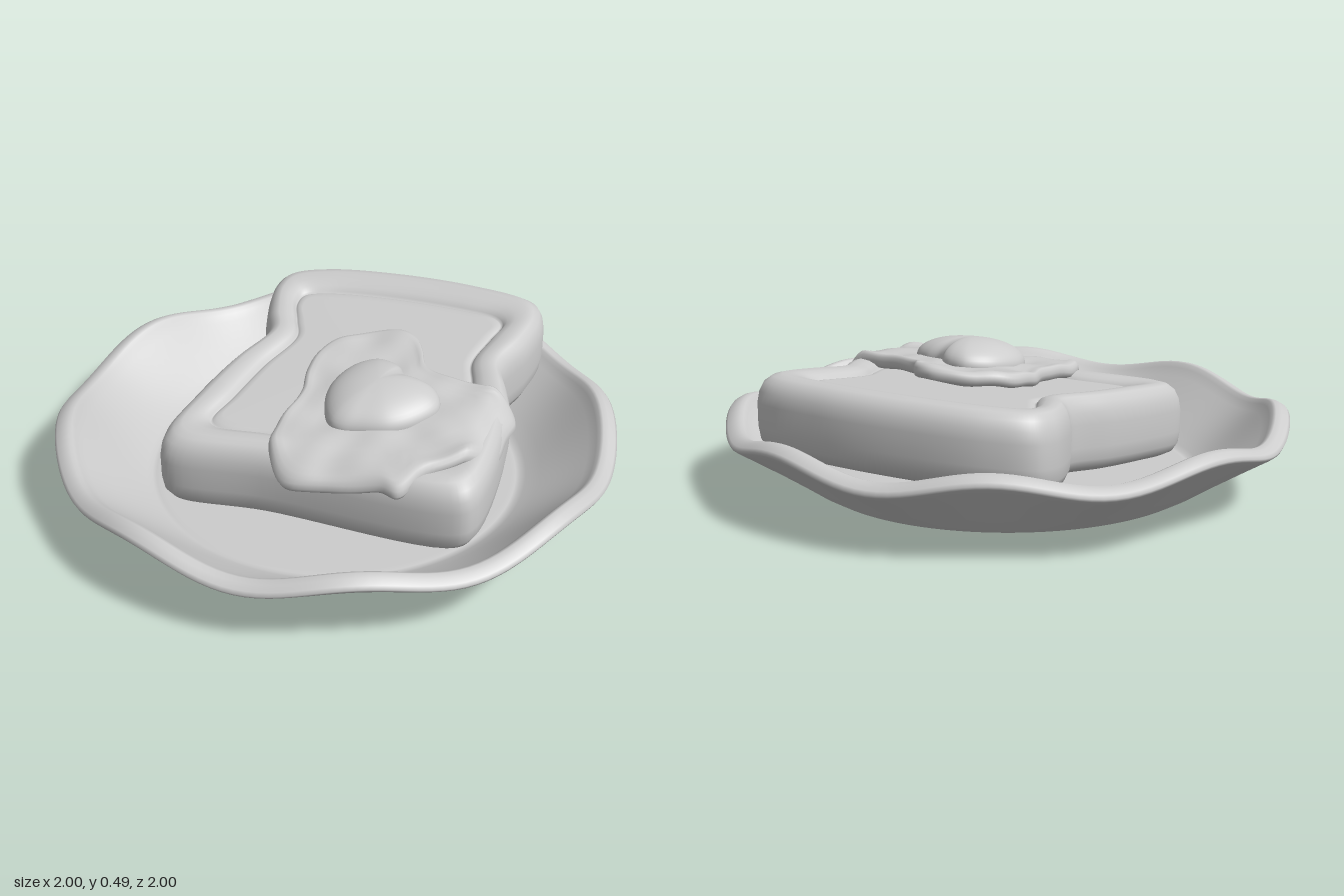
import * as THREE from 'three';

const china = new THREE.MeshStandardMaterial({ color: 0xcccccc });
china.name = 'plain light grey';

// Closed smooth outline in the ground plane, sampled evenly per control point
function outline(pairs, n) {
  const pts = pairs.map(([x, z]) => new THREE.Vector3(x, 0, z));
  const curve = new THREE.CatmullRomCurve3(pts, true, 'centripetal');
  return Array.from({ length: n }, (_, i) => curve.getPoint(i / n));
}

// Skin a list of equal closed rings, bottom to top; rings run anticlockwise from above
function loft(name, rings) {
  const n = rings[0].length, pos = [], idx = [];
  rings.forEach(r => r.forEach(p => pos.push(p.x, p.y, p.z)));
  for (let j = 0; j < rings.length - 1; j++) {
    for (let i = 0; i < n; i++) {
      const a = j * n + i, b = j * n + (i + 1) % n;
      idx.push(a, b, b + n, a, b + n, a + n);
    }
  }
  // close both ends with a fan
  const cap = (ring, start, up) => {
    const c = ring.reduce((s, p) => s.add(p), new THREE.Vector3()).divideScalar(n);
    const k = pos.length / 3;
    pos.push(c.x, c.y, c.z);
    for (let i = 0; i < n; i++) {
      const a = start + i, b = start + (i + 1) % n;
      if (up) idx.push(a, b, k); else idx.push(b, a, k);
    }
  };
  cap(rings[0], 0, false);
  cap(rings[rings.length - 1], (rings.length - 1) * n, true);
  const g = new THREE.BufferGeometry();
  g.setAttribute('position', new THREE.Float32BufferAttribute(pos, 3));
  g.setIndex(idx);
  g.computeVertexNormals();
  const mesh = new THREE.Mesh(g, china);
  mesh.name = name;
  return mesh;
}

const smooth = THREE.MathUtils.smoothstep;
// Height of the tilted slice's crust
const crustTop = (x, z) => 0.38 + 0.03 * x - 0.105 * z;

// Plate: round, with eight soft waves in the rim
function plate() {
  const profile = [ // radius, height, share of the wave
    [0.3, 0, 0], [0.6, 0, 0], [0.65, 0.003, 0], [0.685, 0.014, 0], [0.73, 0.037, 0.05], [0.8, 0.08, 0.25],
    [0.9, 0.14, 0.6], [0.975, 0.184, 0.9], [0.995, 0.197, 1], [1, 0.207, 1], [0.992, 0.218, 1],
    [0.97, 0.231, 1], [0.95, 0.236, 1], [0.938, 0.232, 1], [0.927, 0.218, 0.95], [0.9, 0.195, 0.8],
    [0.82, 0.137, 0.4], [0.74, 0.085, 0.1], [0.69, 0.056, 0], [0.67, 0.047, 0], [0.655, 0.046, 0],
    [0.64, 0.05, 0], [0.3, 0.05, 0]];
  const n = 160;
  return loft('plate', profile.map(([r, y, w]) => Array.from({ length: n }, (_, i) => {
    const a = i / n * Math.PI * 2;
    return new THREE.Vector3(Math.sin(a) * r, y + w * 0.027 * (1 - Math.cos(8 * a)), Math.cos(a) * r);
  })));
}

// Toast: rounded crust around a slightly sunken face
function toast() {
  const n = 190;
  const outer = outline([[-0.52, 0.38], [-0.475, 0.43], [-0.13, 0.42], [0.57, 0.44], [0.622, 0.38],
    [0.62, -0.07], [0.585, -0.18], [0.545, -0.29], [0.595, -0.45], [0.612, -0.62], [0.57, -0.725],
    [0.3, -0.795], [0, -0.81], [-0.29, -0.78], [-0.44, -0.71], [-0.468, -0.61], [-0.43, -0.42],
    [-0.385, -0.3], [-0.45, -0.1], [-0.5, 0.14]], n);
  const inner = outline([[-0.38, 0.25], [-0.34, 0.285], [-0.13, 0.28], [0.44, 0.3], [0.49, 0.25],
    [0.48, -0.07], [0.45, -0.18], [0.42, -0.29], [0.45, -0.45], [0.468, -0.545], [0.43, -0.59],
    [0.3, -0.615], [0, -0.63], [-0.24, -0.61], [-0.325, -0.575], [-0.335, -0.51], [-0.295, -0.4],
    [-0.26, -0.3], [-0.315, -0.1], [-0.355, 0.11]], n);
  const section = [ // inset across the crust, drop below the crust top
    [0.9, 0.27], [0.35, 0.27], [0.15, 0.255], [0.04, 0.225], [0, 0.18], [0, 0.1], [0.04, 0.06],
    [0.13, 0.027], [0.28, 0.007], [0.45, 0], [0.7, 0.004], [0.88, 0.014], [0.97, 0.028],
    [1, 0.036], [1.04, 0.032], [1.12, 0.026], [1.25, 0.024]];
  return loft('toast', section.map(([t, drop]) => outer.map((o, i) => {
    const p = o.clone().lerp(inner[i], t);
    p.y = crustTop(p.x, p.z) - drop;
    return p;
  })));
}

// Upper surface of the egg white, drooping past the front and side of the toast
function whiteTop(x, z) {
  const bumps = 0.006 * Math.sin(17 * x + 5 * z) * Math.sin(19 * z - 4 * x + 1)
    + 0.004 * Math.sin(31 * x - 12 * z) * Math.cos(27 * z + 9 * x);
  return crustTop(x, z) + 0.027 + bumps
    - 0.1 * smooth(x, 0.54, 0.67) - 0.065 * smooth(z, 0.36, 0.5) + 0.012 * smooth(-z, 0.1, 0.3);
}

function eggWhite() {
  const edge = outline([[0.14, -0.34], [0.06, -0.325], [-0.02, -0.285], [-0.11, -0.2], [-0.13, -0.05],
    [-0.105, 0.08], [-0.125, 0.27], [-0.11, 0.39], [-0.02, 0.485], [0.14, 0.475], [0.3, 0.455],
    [0.37, 0.465], [0.43, 0.4], [0.55, 0.3], [0.63, 0.18], [0.637, 0.06], [0.647, -0.04],
    [0.62, -0.085], [0.5, -0.1], [0.37, -0.12], [0.285, -0.165], [0.25, -0.24], [0.205, -0.31]], 184);
  const section = [ // scale, drop below the upper surface
    [0.3, 0.05], [0.8, 0.05], [0.94, 0.05], [0.985, 0.042], [1, 0.026], [0.99, 0.01], [0.965, 0],
    [0.93, -0.003], [0.88, 0], [0.8, 0.002], [0.7, 0], [0.6, 0], [0.5, 0], [0.4, 0], [0.3, 0], [0.15, 0]];
  return loft('eggWhite', section.map(([s, drop]) => edge.map(e => {
    const x = 0.19 + (e.x - 0.19) * s, z = 0.08 + (e.z - 0.08) * s;
    return new THREE.Vector3(x, whiteTop(x, z) - drop, z);
  })));
}

// Yolk: heart-shaped dome
function yolk() {
  const edge = outline([[0.235, -0.06], [0.215, -0.09], [0.17, -0.115], [0.11, -0.12], [0.035, -0.06],
    [-0.005, 0.06], [0.012, 0.165], [0.06, 0.25], [0.1, 0.268], [0.165, 0.262], [0.27, 0.238],
    [0.35, 0.175], [0.4, 0.085], [0.375, 0.01], [0.32, -0.025], [0.265, -0.035]], 128);
  const rings = [edge.map(e => new THREE.Vector3(e.x, whiteTop(e.x, e.z) - 0.02, e.z))];
  for (let k = 0; k <= 12; k++) {
    const a = k / 12 * 1.5, s = Math.cos(a);
    rings.push(edge.map(e => {
      const x = 0.18 + (e.x - 0.18) * s, z = 0.08 + (e.z - 0.08) * s;
      return new THREE.Vector3(x, crustTop(x, z) + 0.026 + 0.087 * Math.sin(a), z);
    }));
  }
  return loft('yolk', rings);
}

export function createModel() {
  const model = new THREE.Group();
  model.name = 'eggOnToast';
  model.add(plate(), toast(), eggWhite(), yolk());
  return model;
}
